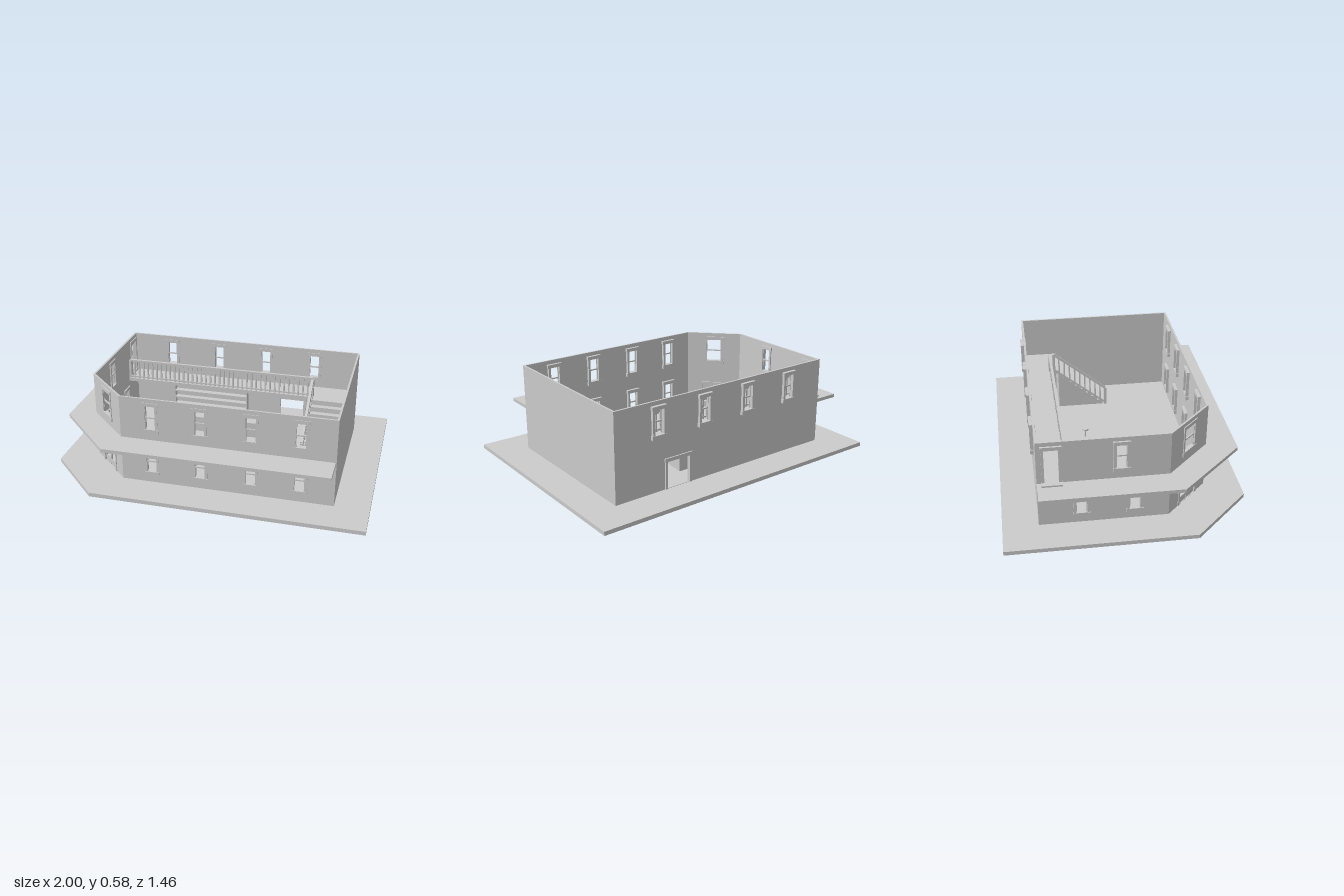
import * as THREE from 'three';

const mat = new THREE.MeshStandardMaterial({ color: 0xcccccc, flatShading: true, side: THREE.DoubleSide });
const GROUND = 0.025, TOP = 0.585, DECK = 0.315, THICK = 0.012;

function add(parent, name, geo, x = 0, y = 0, z = 0) {
  const m = new THREE.Mesh(geo, mat);
  m.name = name;
  m.position.set(x, y, z);
  parent.add(m);
  return m;
}

// Box given by its minimum and maximum on each axis
function block(parent, name, x0, x1, y0, y1, z0, z1) {
  return add(parent, name, new THREE.BoxGeometry(x1 - x0, y1 - y0, z1 - z0),
    (x0 + x1) / 2, (y0 + y1) / 2, (z0 + z1) / 2);
}

// Flat plate with an outline of [x, z] corners
function slab(parent, name, outline, y0, y1) {
  const shape = new THREE.Shape(outline.map(([x, z]) => new THREE.Vector2(x, -z)));
  const geo = new THREE.ExtrudeGeometry(shape, { depth: y1 - y0, bevelEnabled: false });
  geo.rotateX(-Math.PI / 2);
  return add(parent, name, geo, 0, y0, 0);
}

function rectHole(x0, x1, y0, y1) {
  return new THREE.Path([[x0, y0], [x1, y0], [x1, y1], [x0, y1]].map(p => new THREE.Vector2(...p)));
}

// Surround with lintel and jambs; windows also get a sill and two sashes
function opening(wall, o) {
  const g = new THREE.Group();
  g.name = o.door ? 'doorFrame' : 'windowFrame';
  g.position.x = o.s;
  wall.add(g);
  const h = o.w / 2, out = o.out, back = -o.inn, j = 0.015;
  block(g, 'lintel', -h, h, o.y1 - 0.022, o.y1, back, out);
  for (const s of [-1, 1]) {
    const c = s * (h - 0.004 - j / 2);
    block(g, 'jamb', c - j / 2, c + j / 2, o.y0, o.y1 - 0.02, back, out - 0.002);
  }
  if (o.door) return g;
  block(g, 'sill', -h, h, o.y0, o.y0 + 0.025, back, out);
  const a = h - 0.018, ym = (o.y0 + o.y1) / 2;
  block(g, 'meetingRail', -a, a, ym - 0.004, ym + 0.004, -0.012, -0.004);
  for (const s of [-1, 1]) {
    block(g, 'sashStile', s * a - 0.004, s * a + 0.004, o.y0 + 0.02, o.y1 - 0.02, -0.012, -0.004);
  }
  return g;
}

// Wall from a to b ([x, z]); local x runs along it and local z points outward
function wall(parent, name, a, b, openings = []) {
  const dx = b[0] - a[0], dz = b[1] - a[1], len = Math.hypot(dx, dz);
  const g = new THREE.Group();
  g.name = name;
  g.position.set(a[0], 0, a[1]);
  g.rotation.y = Math.atan2(-dz, dx);
  parent.add(g);
  const shape = new THREE.Shape([[0, GROUND], [len, GROUND], [len, TOP], [0, TOP]].map(p => new THREE.Vector2(...p)));
  for (const o of openings) {
    const h = o.w / 2 - 0.012;
    shape.holes.push(rectHole(o.s - h, o.s + h, o.door ? o.y0 + 0.002 : o.y0 + 0.015, o.y1 - 0.012));
    opening(g, o);
  }
  add(g, name + 'Panel', new THREE.ExtrudeGeometry(shape, { depth: THICK, bevelEnabled: false }), 0, 0, -THICK);
  return g;
}

// Handrail with balusters between two floor points
function railing(parent, name, from, to, height, count) {
  const g = new THREE.Group();
  g.name = name;
  parent.add(g);
  const a = new THREE.Vector3(...from), b = new THREE.Vector3(...to);
  const len = a.distanceTo(b);
  for (const [part, y, t] of [['handrail', height, 0.014], ['bottomRail', 0.012, 0.01]]) {
    const m = add(g, part, new THREE.BoxGeometry(t * 1.2, t, len));
    m.position.copy(a).lerp(b, 0.5);
    m.position.y += y;
    m.lookAt(b.x, b.y + y, b.z);
  }
  for (let i = 0; i <= count; i++) {
    const p = a.clone().lerp(b, i / count), end = i === 0 || i === count;
    const w = end ? 0.018 : 0.01;
    add(g, end ? 'newelPost' : 'baluster', new THREE.BoxGeometry(w, height, w), p.x, p.y + height / 2, p.z);
  }
}

export function createModel() {
  const model = new THREE.Group();
  model.name = 'cornerBuilding';

  // Pavement and the walkway roof around the street sides
  slab(model, 'pavement', [[-1, -0.73], [1, -0.73], [1, 0.73], [-0.66, 0.73], [-1, 0.38]], 0, GROUND);
  slab(model, 'canopy', [[-0.95, -0.52], [-0.95, 0.3], [-0.58, 0.69], [0.785, 0.69],
    [0.785, 0.505], [-0.518, 0.505], [-0.785, 0.238], [-0.785, -0.52]], 0.293, DECK);

  // Walls with their openings
  const upper = { w: 0.1, y0: 0.36, y1: 0.56 }, lower = { w: 0.1, y0: 0.07, y1: 0.26 };
  const front = [];
  for (const x of [-0.33, -0.025, 0.285, 0.58]) {
    for (const level of [upper, lower]) front.push({ ...level, s: x + 0.52, out: 0.004, inn: 0.03 });
  }
  wall(model, 'frontWall', [-0.52, 0.51], [0.79, 0.51], front);
  wall(model, 'leftWall', [0.79, 0.51], [0.79, -0.52]);

  const rear = [-0.51, -0.17, 0.16, 0.495].map(x => ({ ...upper, s: 0.79 - x, out: 0.02, inn: 0.016 }));
  rear.push({ door: true, s: 0.44, w: 0.2, y0: GROUND, y1: 0.22, out: 0.008, inn: 0.016 });
  wall(model, 'backWall', [0.79, -0.52], [-0.79, -0.52], rear);

  const side = { out: 0.012, inn: 0.02 };
  const rightWall = wall(model, 'rightWall', [-0.79, -0.52], [-0.79, 0.24], [
    { ...side, door: true, s: 0.085, w: 0.12, y0: DECK, y1: 0.56 },
    { ...upper, ...side, s: 0.48 },
    { ...lower, ...side, s: 0.25 },
    { ...lower, ...side, s: 0.56 },
  ]);
  block(rightWall, 'doorStep', 0.025, 0.145, DECK, DECK + 0.01, -0.02, 0.04);

  const corner = wall(model, 'cornerWall', [-0.79, 0.24], [-0.52, 0.51], [
    { door: true, s: 0.191, w: 0.2, y0: GROUND, y1: 0.22, out: 0.006, inn: 0.02 },
    { ...upper, s: 0.191, w: 0.14, out: 0.006, inn: 0.02 },
  ]);
  // Pair of entrance leaves with arched lights
  for (const s of [-1, 1]) {
    const leaf = new THREE.Shape([[0.002, 0.028], [0.078, 0.028], [0.078, 0.2], [0.002, 0.2]].map(p => new THREE.Vector2(...p)));
    const light = new THREE.Path();
    light.moveTo(0.012, 0.07);
    light.lineTo(0.066, 0.07);
    light.lineTo(0.066, 0.1);
    light.quadraticCurveTo(0.062, 0.155, 0.012, 0.165);
    leaf.holes.push(light);
    const m = add(corner, 'doorLeaf', new THREE.ExtrudeGeometry(leaf, { depth: 0.008, bevelEnabled: false }), 0.191, 0, -0.012);
    if (s < 0) { m.rotation.y = Math.PI; m.position.z = -0.004; }
  }

  // Gallery along the back, with the landing at the head of the stairs
  slab(model, 'gallery', [[-0.778, -0.508], [0.778, -0.508], [0.778, -0.29], [0.52, -0.29],
    [0.52, -0.335], [-0.778, -0.335]], 0.293, DECK);
  railing(model, 'galleryRailing', [-0.77, DECK, -0.347], [0.512, DECK, -0.347], 0.13, 40);

  // Straight flight coming down toward the front
  const steps = 8, run = 0.0385, rise = (DECK - GROUND) / (steps + 1);
  for (let i = 0; i < steps; i++) {
    const z = -0.29 + i * run;
    block(model, 'stairStep', 0.52, 0.778, GROUND, DECK - (i + 1) * rise, z, z + run);
  }
  railing(model, 'stairRailing', [0.512, DECK, -0.32], [0.512, GROUND + 0.005, 0.035], 0.13, 10);

  // Bar counter: body with an overhanging top
  const barTop = [[-0.48, -0.36], [-0.48, -0.21], [-0.15, -0.202], [0.1, -0.2], [0.2, -0.205], [0.22, -0.215], [0.235, -0.36]];
  slab(model, 'barTop', barTop, 0.123, 0.137);
  slab(model, 'barBody', barTop.map(([x, z]) => [x * 0.97, z - 0.012]), GROUND, 0.123);

  // Bar stools
  for (const x of [-0.4, -0.28, -0.155, -0.04, 0.08]) {
    const stool = new THREE.Group();
    stool.name = 'stool';
    stool.position.set(x, GROUND, -0.153);
    model.add(stool);
    add(stool, 'stoolSeat', new THREE.CylinderGeometry(0.021, 0.021, 0.01, 12), 0, 0.075, 0);
    add(stool, 'stoolStem', new THREE.CylinderGeometry(0.005, 0.005, 0.07, 8), 0, 0.035, 0);
    add(stool, 'stoolFoot', new THREE.CylinderGeometry(0.014, 0.016, 0.005, 12), 0, 0.0025, 0);
  }

  // Bottle shelves behind the bar
  block(model, 'shelfBack', -0.49, 0.04, GROUND, 0.25, -0.508, -0.5);
  for (const x of [-0.49, 0.032]) block(model, 'shelfSide', x, x + 0.008, GROUND, 0.25, -0.5, -0.46);
  for (let i = 0; i < 5; i++) {
    const y = 0.04 + i * 0.05;
    block(model, 'shelfBoard', -0.482, 0.032, y, y + 0.01, -0.5, -0.46);
  }
  return model;
}
